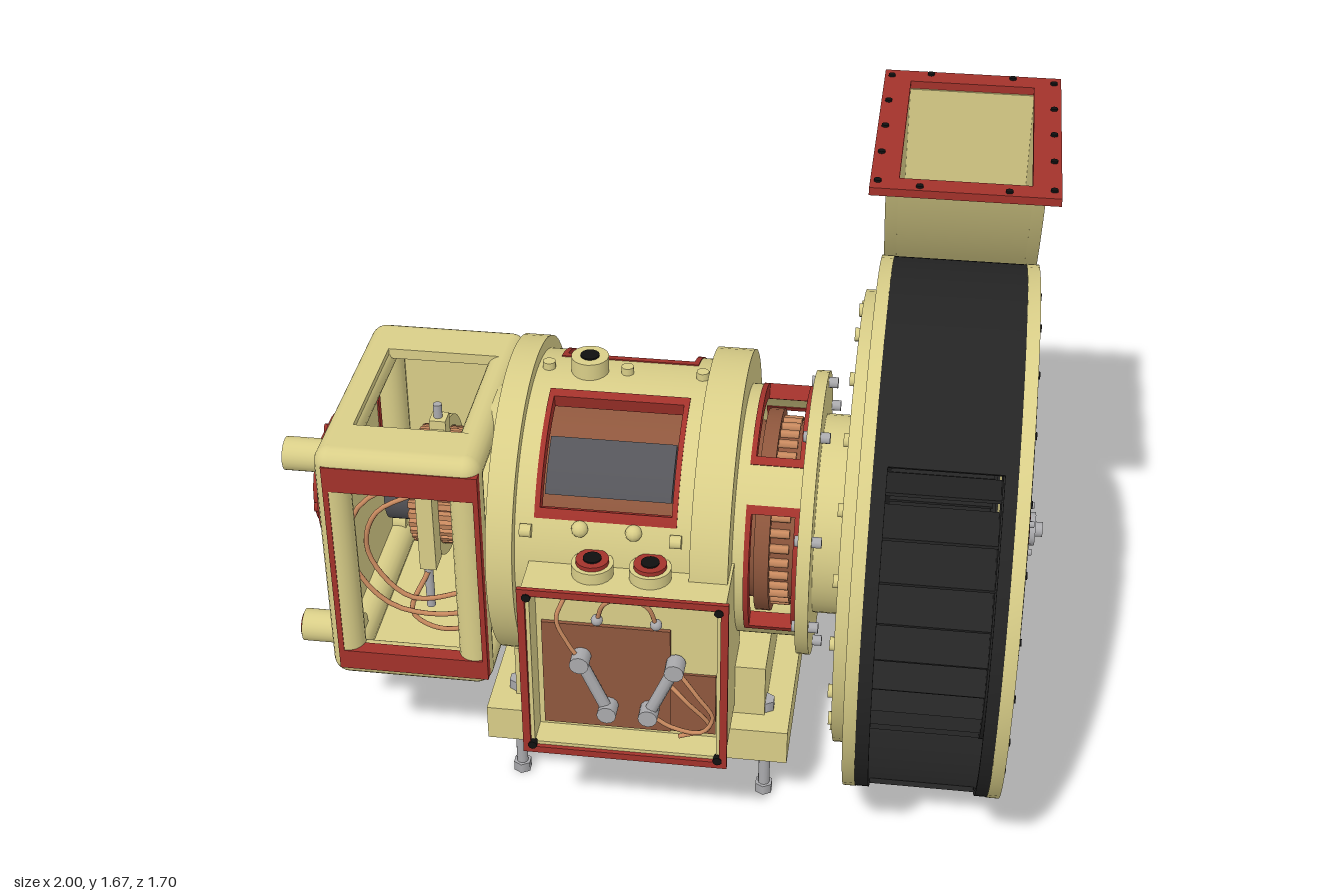
import * as THREE from 'three';
import { mergeGeometries, toCreasedNormals } from 'three/addons/utils/BufferGeometryUtils.js';

const mat = (name, color) => Object.assign(new THREE.MeshStandardMaterial({ color }), { name });
const CY = 0.8, CZ = 0.14, RAD = Math.PI / 180; // main axle runs along x

export function createModel() {
  const cream = mat('cream paint', 0xd9ce88), red = mat('red paint', 0xa3322b), black = mat('black metal', 0x242424),
    dark = mat('dark holes', 0x101010), steel = mat('steel', 0xaaaaad), slate = mat('slate grey', 0x55555a),
    copper = mat('copper', 0xc98a5f), brown = mat('brown winding', 0x8f573d);
  const root = new THREE.Group();
  let target = root;
  const group = (name) => { target = new THREE.Group(); target.name = name; root.add(target); };
  const add = (name, geos, m) => {
    const parts = [geos].flat().map((g) => (g.index ? g.toNonIndexed() : g));
    const mesh = new THREE.Mesh(mergeGeometries(parts), m);
    mesh.name = name;
    target.add(mesh);
  };
  const box = (x0, x1, y0, y1, z0, z1) =>
    new THREE.BoxGeometry(x1 - x0, y1 - y0, z1 - z0).translate((x0 + x1) / 2, (y0 + y1) / 2, (z0 + z1) / 2);
  const cylX = (r, x0, x1, y = CY, z = CZ, n = 48) =>
    new THREE.CylinderGeometry(r, r, x1 - x0, n).rotateZ(Math.PI / 2).translate((x0 + x1) / 2, y, z);
  const cylY = (r, y0, y1, x, z, n = 20) => new THREE.CylinderGeometry(r, r, y1 - y0, n).translate(x, (y0 + y1) / 2, z);
  const cylZ = (r, z0, z1, x, y, n = 20) =>
    new THREE.CylinderGeometry(r, r, z1 - z0, n).rotateX(Math.PI / 2).translate(x, y, (z0 + z1) / 2);
  const extrude = (shape, depth) =>
    toCreasedNormals(new THREE.ExtrudeGeometry(shape, { depth, bevelEnabled: false, curveSegments: 48 }), 0.6);
  // shapes for x extrusions use (-z, y), for y extrusions (x, -z)
  const extX = (shape, x0, x1) => extrude(shape, x1 - x0).rotateY(Math.PI / 2).translate(x0, 0, 0);
  const extY = (shape, y0, y1) => extrude(shape, y1 - y0).rotateX(-Math.PI / 2).translate(0, y0, 0);
  const extZ = (shape, z0, z1) => extrude(shape, z1 - z0).translate(0, 0, z0);
  const rect = (a0, a1, b0, b1) => [[a0, b0], [a1, b0], [a1, b1], [a0, b1]].map((p) => new THREE.Vector2(...p));
  const frame = (outer, ...holes) => {
    const s = new THREE.Shape(rect(...outer));
    holes.forEach((h) => s.holes.push(new THREE.Path(rect(...h))));
    return s;
  };
  const arc = (rIn, rOut, a0, a1, x0, x1) => {
    const s = new THREE.Shape();
    s.absarc(-CZ, CY, rOut, a0 * RAD, a1 * RAD, false);
    s.absarc(-CZ, CY, rIn, a1 * RAD, a0 * RAD, true);
    return extX(s, x0, x1);
  };
  const ring = (rIn, rOut, x0, x1) => {
    const s = new THREE.Shape().absarc(-CZ, CY, rOut, 0, Math.PI * 2, false);
    s.holes.push(new THREE.Path().absarc(-CZ, CY, rIn, 0, Math.PI * 2, true));
    return extX(s, x0, x1);
  };
  const polar = (r, a) => [CY + r * Math.sin(a * RAD), CZ - r * Math.cos(a * RAD)]; // y, z
  const around = (n, fn, off = 0) => Array.from({ length: n }, (_, i) => fn(off + (i * 360) / n));
  const tube = (pts, r = 0.007) =>
    new THREE.TubeGeometry(new THREE.CatmullRomCurve3(pts.map((p) => new THREE.Vector3(...p))), 24, r, 8);

  // Volute fan casing
  group('fanCasing');
  const spiral = (a) => 0.705 + 0.225 * Math.pow(Math.max(0, (a - 170) / 190), 2.2);
  const spiralPts = (a0, a1, inset = 0) => Array.from({ length: 61 }, (_, i) => {
    const a = a0 + ((a1 - a0) * i) / 60, [y, z] = polar(spiral(a) - inset, a);
    return new THREE.Vector2(-z, y);
  });
  const band = (a0, a1, x0, x1) =>
    extX(new THREE.Shape([...spiralPts(a0, a1, 0.002), ...spiralPts(a0, a1, 0.016).reverse()]), x0, x1);
  const tongue = (d) => new THREE.QuadraticBezierCurve(new THREE.Vector2(0.14 + d, 1.64),
    new THREE.Vector2(0.225 + d, 1.44), new THREE.Vector2(0.37 + d, 1.29)).getPoints(12);
  const side = () => new THREE.Shape([...spiralPts(44, 360), new THREE.Vector2(0.79, 1.64), ...tongue(0).slice(0, -1)]);
  const open = side();
  open.holes.push(new THREE.Path().absarc(-CZ, CY, 0.6, 0, Math.PI * 2, true));
  add('innerSidePlate', extX(side(), 0.522, 0.555), cream);
  add('outerSidePlate', extX(open, 0.902, 0.935), cream);
  add('ductBackWall', extX(new THREE.Shape(rect(0.774, 0.789, 0.8, 1.64)), 0.55, 0.91), cream);
  add('ductFrontWall', extX(new THREE.Shape([...tongue(0.001), ...tongue(0.02).reverse()]), 0.55, 0.91), cream);
  // the wrapper leaves an inspection opening at the front
  add('wrapper', [band(44, 135, 0.553, 0.905), band(241, 360, 0.553, 0.905),
    band(135, 241, 0.553, 0.59), band(135, 241, 0.87, 0.905)], black);
  add('outletFlange', extY(frame([0.48, 0.975, 0.105, 0.85], [0.555, 0.9, 0.17, 0.78]), 1.64, 1.662), red);
  const flangeBolts = [];
  for (const t of [0.03, 0.27, 0.5, 0.73, 0.97]) for (const x of [0.5, 0.955])
    flangeBolts.push(cylY(0.01, 1.635, 1.668, x, -0.125 - 0.705 * t, 10));
  for (const x of [0.61, 0.84]) for (const z of [-0.125, -0.83]) flangeBolts.push(cylY(0.01, 1.635, 1.668, x, z, 10));
  add('flangeBolts', flangeBolts, dark);
  const rimBolts = [1.15, 1.33, 1.51].map((y) => cylX(0.01, 0.93, 0.941, y, -0.745, 10));
  for (let a = 50; a < 362; a += 15) rimBolts.push(cylX(0.01, 0.93, 0.941, ...polar(spiral(a) - 0.05, a), 10));
  add('rimBolts', rimBolts, dark);
  add('mountingDisc', cylX(0.61, 0.487, 0.523, CY, CZ, 64), cream);
  add('mountingDiscBolts', around(20, (a) => cylX(0.018, 0.474, 0.49, ...polar(0.565, a), 10)), cream);

  // Perforated intake grille
  group('intakeGrille');
  add('grilleRing', ring(0.26, 0.61, 0.915, 0.94), black);
  add('grilleBack', cylX(0.27, 0.905, 0.915), dark);
  add('grilleSpokes', around(40, (a) => new THREE.BoxGeometry(0.021, 0.18, 0.012).translate(0, 0.17, 0)
    .rotateX(a * RAD).translate(0.926, CY, CZ)), black);
  const holes = [];
  for (let k = 0; k < 7; k++) for (let i = 0; i < 36; i++)
    holes.push(cylX(0.007, 0.935, 0.9415, ...polar(0.3 + k * 0.045, i * 10 + (k % 2) * 5), 6));
  add('grilleHoles', holes, dark);
  add('hub', [cylX(0.08, 0.9, 0.955), cylX(0.06, 0.95, 0.965)], red);
  add('hubShaft', [cylX(0.045, 0.95, 0.98, CY, CZ, 12), cylX(0.02, 0.98, 1.0, CY, CZ, 16),
    ...around(4, (a) => cylX(0.009, 0.94, 0.975, ...polar(0.064, a), 8), 45)], steel);

  // Impeller inside the casing
  group('impeller');
  add('impellerDisc', [cylX(0.57, 0.56, 0.58), ring(0.45, 0.57, 0.87, 0.885)], black);
  add('impellerBlades', around(32, (a) => new THREE.BoxGeometry(0.3, 0.17, 0.008).rotateX(0.5).translate(0, 0.49, 0)
    .rotateX(a * RAD).translate(0.725, CY, CZ)), black);
  add('impellerShaft', cylX(0.03, 0.55, 0.95, CY, CZ, 16), steel);

  // Motor: shells with framed windows
  group('motor');
  const windowShell = (name, x0, x1, rIn, rOut, wins, w0, w1) => {
    const shell = [], frames = [];
    wins.forEach(([a0, a1], i) => {
      const next = i + 1 < wins.length ? wins[i + 1][0] : wins[0][0] + 360;
      shell.push(arc(rIn, rOut, a1, next, x0, x1), arc(rIn, rOut, a0, a1, x0, w0), arc(rIn, rOut, a0, a1, w1, x1));
      const f0 = rIn - 0.002, f1 = rOut + 0.003;
      frames.push(arc(f0, f1, a0, a0 + 4, w0, w1), arc(f0, f1, a1 - 4, a1, w0, w1),
        arc(f0, f1, a0, a1, w0, w0 + 0.014), arc(f0, f1, a0, a1, w1 - 0.014, w1));
    });
    add(name, shell, cream);
    add(name + 'WindowFrames', frames, red);
  };
  windowShell('motorShell', -0.36, 0.11, 0.36, 0.395, [[25, 78], [102, 155]], -0.31, 0.06);
  add('statorCore', cylX(0.325, -0.36, 0.11), brown);
  add('fieldCoils', [arc(0.32, 0.372, 34, 58, -0.29, 0.04), arc(0.32, 0.372, 122, 146, -0.29, 0.04)], slate);
  add('bodyRings', [cylX(0.43, -0.43, -0.36, CY, CZ, 64), cylX(0.43, 0.1, 0.2, CY, CZ, 64),
    cylX(0.3, -0.48, -0.42)], cream);
  windowShell('endBell', 0.19, 0.38, 0.3, 0.337, [[-36, 36], [54, 126], [144, 216]], 0.23, 0.37);
  add('endBellCore', [cylX(0.24, 0.19, 0.38), cylX(0.275, 0.25, 0.29)], brown);
  add('endBellBars', around(36, (a) => cylX(0.012, 0.29, 0.34, ...polar(0.245, a), 6)), copper);
  add('endBellFlange', [cylX(0.385, 0.37, 0.405, CY, CZ, 64), cylX(0.27, 0.4, 0.49)], cream);
  add('flangeStuds', around(8, (a) => cylX(0.015, 0.36, 0.43, ...polar(0.358, a), 10), 22.5), steel);
  add('topPort', cylY(0.05, 1.15, 1.24, -0.22, 0.13), cream);
  add('topPortHole', cylY(0.025, 1.235, 1.244, -0.22, 0.13), dark);
  add('bodyScrews', [...[-0.33, -0.12, 0.08].map((x) => cylY(0.017, 1.17, 1.215, x, 0.13, 10)),
    ...[-0.33, 0.06].flatMap((x) => [160, 20].map((a) => cylX(0.018, x - 0.015, x + 0.015, ...polar(0.4, a), 10))),
    ...[-0.19, -0.05].map((x) => new THREE.SphereGeometry(0.022, 12, 8).translate(x, 0.95, 0.51))], cream);

  // Brush-gear cage: rounded edges and corners, open front, top and end slots
  group('brushCage');
  const R = 0.045, X0 = -0.9, X1 = -0.455, Y0 = 0.365, Y1 = 1.1, Z0 = -0.22, Z1 = 0.48;
  const xs = [X0 + R, X1 - R], ys = [Y0 + R, Y1 - R], zs = [Z0 + R, Z1 - R], edges = [];
  for (const i of [0, 1]) for (const j of [0, 1]) {
    edges.push(cylX(R, ...xs, ys[i], zs[j], 20), cylY(R, ...ys, xs[i], zs[j]), cylZ(R, ...zs, xs[i], ys[j]));
    for (const k of [0, 1]) edges.push(new THREE.SphereGeometry(R, 20, 14).translate(xs[i], ys[j], zs[k]));
  }
  add('cageEdges', edges, cream);
  const slots = [[-0.42, -0.33, 0.56, 1.0], [0.08, 0.17, 0.56, 1.0]];
  add('cagePanels', [box(...xs, ...ys, Z0, Z0 + 0.03), box(...xs, Y0, Y0 + 0.03, ...zs),
    extY(frame([...xs, -zs[1], -zs[0]], [-0.82, -0.51, -0.33, 0.06]), Y1 - 0.03, Y1),
    extX(frame([-zs[1], -zs[0], ...ys], ...slots), X0, X0 + 0.03)], cream);
  add('cageSlotFrames', slots.map(([a, b, c, d]) => extX(frame([a - 0.008, b + 0.008, c - 0.008, d + 0.008],
    [a + 0.015, b - 0.015, c + 0.02, d - 0.02]), X0 - 0.004, X0 + 0.034)), red);
  add('cageFrontFrame', extZ(frame([-0.873, -0.46, 0.4, 1.06], [-0.858, -0.474, 0.46, 0.985]), 0.44, 0.482), red);
  add('endCover', [cylX(0.18, -0.945, -0.89), cylX(0.13, -0.97, -0.94), cylX(0.05, -0.99, -0.96),
    ...around(8, (a) => cylX(0.013, -0.96, -0.94, ...polar(0.155, a), 8))], red);
  add('endCoverHoles', around(10, (a) => cylX(0.012, -0.974, -0.968, ...polar(0.09, a), 8)), dark);
  add('cagePosts', [[-0.995, 1.025, 0.375], [-0.995, 0.455, 0.375], [-0.995, 0.455, -0.165], [-0.965, 0.355, 0.045]]
    .map(([x, y, z]) => cylX(0.045, x, -0.83, y, z, 24)), cream);
  add('postCaps', [0.375, -0.165].map((z) => cylX(0.034, -1, -0.99, 0.455, z, 20)), red);

  // Commutator and brushes
  group('commutator');
  add('armatureShaft', cylX(0.04, -0.88, -0.42, CY, CZ, 24), steel);
  add('commutatorDrum', cylX(0.105, -0.78, -0.69), slate);
  add('commutatorCore', cylX(0.145, -0.7, -0.5), brown);
  add('commutatorBars', [...around(32, (a) => new THREE.BoxGeometry(0.2, 0.03, 0.017).translate(0, 0.148, 0)
    .rotateX(a * RAD).translate(-0.6, CY, CZ)), ring(0.14, 0.175, -0.515, -0.49)], copper);
  add('brushRing', [ring(0.165, 0.195, -0.655, -0.62), box(-0.66, -0.615, 0.95, 1.02, 0.115, 0.165),
    box(-0.66, -0.615, 0.67, 0.93, 0.3, 0.365)], cream);
  add('brushRods', [cylY(0.012, 0.54, 1.06, -0.64, 0.35), cylY(0.012, 0.97, 1.06, -0.64, CZ)], steel);
  add('brushWires', [
    [[-0.64, 0.98, 0.36], [-0.8, 0.9, 0.42], [-0.83, 0.72, 0.42], [-0.72, 0.58, 0.42], [-0.52, 0.56, 0.38], [-0.47, 0.62, 0.25]],
    [[-0.64, 0.93, 0.37], [-0.76, 0.87, 0.4], [-0.79, 0.74, 0.4], [-0.68, 0.6, 0.4], [-0.49, 0.62, 0.36]],
    [[-0.64, 0.66, 0.36], [-0.68, 0.55, 0.4], [-0.6, 0.5, 0.4], [-0.5, 0.51, 0.36], [-0.47, 0.58, 0.25]],
  ].map((p) => tube(p)), copper);

  // Terminal box
  group('terminalBox');
  add('boxWalls', extZ(frame([-0.322, 0.207, 0.328, 0.852], [-0.3, 0.185, 0.35, 0.83]), 0.3, 0.655), cream);
  add('boxBack', box(-0.31, 0.195, 0.34, 0.84, 0.56, 0.577), cream);
  add('boxGasket', extZ(frame([-0.33, 0.215, 0.32, 0.86], [-0.31, 0.195, 0.34, 0.84]), 0.655, 0.667), red);
  add('boxScrews', [-0.305, 0.19].flatMap((x) => [0.345, 0.835].map((y) => cylZ(0.012, 0.65, 0.67, x, y, 10))), dark);
  add('terminalBoard', [box(-0.285, 0.055, 0.365, 0.7, 0.576, 0.588), box(0.05, 0.175, 0.365, 0.56, 0.576, 0.584)], brown);
  const links = [-0.135, 0.02].map((x) => new THREE.SphereGeometry(0.016, 12, 8).translate(x, 0.73, 0.6));
  for (const [xa, xb] of [[-0.18, -0.11], [0.07, 0]])
    links.push(tube([[xa, 0.6, 0.61], [xb, 0.44, 0.61]], 0.017),
      cylZ(0.026, 0.585, 0.635, xa, 0.6, 12), cylZ(0.026, 0.585, 0.635, xb, 0.44, 12));
  add('terminalLinks', links, steel);
  add('terminalWires', [
    [[-0.135, 0.73, 0.6], [-0.11, 0.8, 0.62], [-0.05, 0.83, 0.63], [0, 0.8, 0.62], [0.02, 0.73, 0.6]],
    [[-0.22, 0.79, 0.59], [-0.24, 0.73, 0.61], [-0.21, 0.65, 0.61], [-0.18, 0.6, 0.61]],
    [[0.07, 0.6, 0.61], [0.13, 0.52, 0.62], [0.17, 0.44, 0.61], [0.14, 0.39, 0.61], [0.06, 0.4, 0.61], [0, 0.44, 0.61]],
    [[0.05, 0.54, 0.6], [0.1, 0.5, 0.62], [0.16, 0.4, 0.6], [0.08, 0.37, 0.61]],
  ].map((p) => tube(p, 0.006)), copper);
  for (const [name, r, y0, y1, m] of [['cableGlands', 0.055, 0.85, 0.885, cream], ['glandRings', 0.043, 0.88, 0.897, red],
    ['glandHoles', 0.024, 0.89, 0.901, dark]]) add(name, [-0.15, 0].map((x) => cylY(r, y0, y1, x, 0.56)), m);

  // Base and levelling bolts
  group('base');
  add('basePlate', box(-0.47, 0.36, 0.195, 0.3, -0.2, 0.48), cream);
  add('pedestal', box(-0.4, 0.29, 0.3, 0.46, -0.13, 0.41), cream);
  const feet = [];
  for (const x of [-0.4, 0.29]) for (const z of [0.375, -0.09])
    feet.push(cylY(0.016, 0.02, 0.33, x, z, 12), ...[0, 0.165, 0.3].map((y) => cylY(0.026, y, y + 0.03, x, z, 6)));
  add('levellingBolts', feet, steel);
  return root;
}
